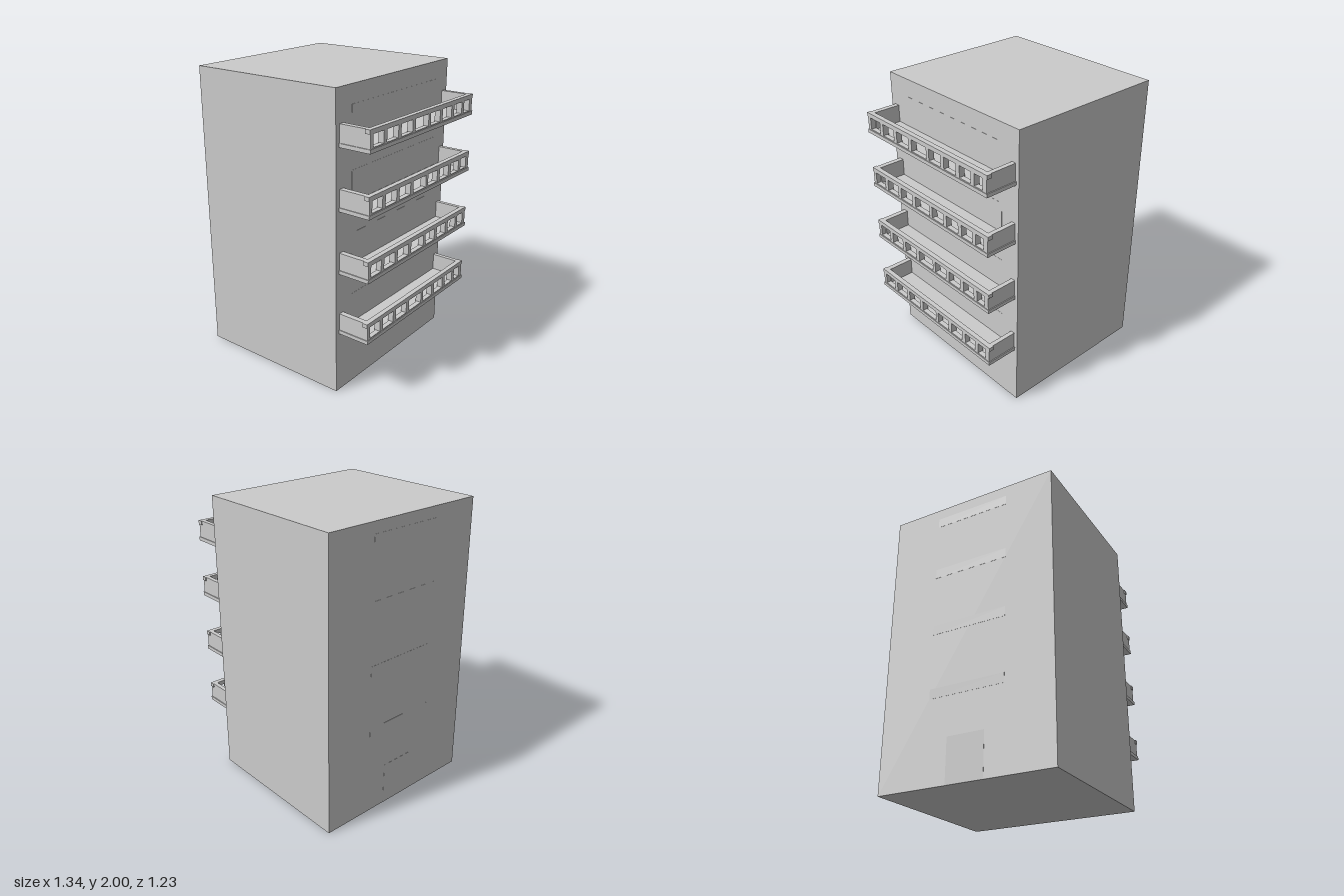
import * as THREE from 'three';

const material = new THREE.MeshStandardMaterial({ color: 0xcccccc, flatShading: true });

// Box given by its extents on each axis
function block(name, [x0, x1], [y0, y1], [z0, z1]) {
  const mesh = new THREE.Mesh(new THREE.BoxGeometry(x1 - x0, y1 - y0, z1 - z0), material);
  mesh.position.set((x0 + x1) / 2, (y0 + y1) / 2, (z0 + z1) / 2);
  mesh.name = name;
  return mesh;
}

const WALL_LEFT = 0.452;   // wall with the balconies
const WALL_RIGHT = -0.667; // wall with the entrance
const Z0 = -0.592, Z1 = 0.584;
const SLAB = 0.025, HEIGHT = 0.14;

// Openings in the balcony railing, as z ranges
const openings = [
  [-0.55, -0.48], [-0.45, -0.35], [-0.317, -0.206], [-0.175, -0.063],
  [-0.037, 0.11], [0.143, 0.265], [0.296, 0.413], [0.445, 0.55],
];

function rectangle(target, a0, a1, b0, b1) {
  target.moveTo(a0, b0);
  target.lineTo(a1, b0);
  target.lineTo(a1, b1);
  target.lineTo(a0, b1);
  target.closePath();
  return target;
}

// Long railing panel pierced by a row of openings
function createRailing() {
  const shape = rectangle(new THREE.Shape(), -Z1 + 0.006, -Z0 - 0.006, SLAB, HEIGHT);
  for (const [a, b] of openings) {
    shape.holes.push(rectangle(new THREE.Path(), -b, -a, 0.032, 0.11));
  }
  const geometry = new THREE.ExtrudeGeometry(shape, { depth: 0.033, bevelEnabled: false });
  geometry.rotateY(Math.PI / 2); // shape x becomes -z, depth becomes +x
  geometry.translate(0.637, 0, 0);
  const mesh = new THREE.Mesh(geometry, material);
  mesh.name = 'railing';
  return mesh;
}

function createBalcony() {
  const balcony = new THREE.Group();
  balcony.name = 'balcony';
  balcony.add(block('floorSlab', [WALL_LEFT, 0.674], [0, SLAB], [Z0, Z1]));
  balcony.add(createRailing());
  // Side walls
  balcony.add(block('sideWall', [WALL_LEFT, 0.637], [SLAB, HEIGHT], [Z0 + 0.006, -0.556]));
  balcony.add(block('sideWall', [WALL_LEFT, 0.637], [SLAB, HEIGHT], [0.542, Z1 - 0.006]));
  // Handrail ends, slightly wider than the railing
  balcony.add(block('handrailEnd', [0.637, 0.67], [0.113, HEIGHT], [Z0, Z0 + 0.006]));
  balcony.add(block('handrailEnd', [0.637, 0.67], [0.113, HEIGHT], [Z1 - 0.006, Z1]));
  // Posts standing a little proud on the inside
  for (let i = 0; i < openings.length - 1; i++) {
    balcony.add(block('post', [0.63, 0.637], [SLAB, 0.125], [openings[i][1], openings[i + 1][0]]));
  }
  return balcony;
}

export function createModel() {
  const model = new THREE.Group();
  model.name = 'apartmentBlock';
  model.add(block('tower', [WALL_RIGHT, WALL_LEFT], [0, 2], [-0.613, 0.613]));

  // Each floor: balcony height, balcony window top, narrow window bottom
  const floors = [
    [0.418, 0.65, 0.567], [0.837, 1.07, 1.015], [1.25, 1.478, 1.443], [1.648, 1.88, 1.857],
  ];
  for (const [base, windowTop, slit] of floors) {
    const balcony = createBalcony();
    balcony.position.y = base;
    model.add(balcony);
    model.add(block('balconyWindow', [WALL_LEFT - 0.01, WALL_LEFT + 0.001], [base + 0.032, windowTop], [-0.468, 0.46]));
    model.add(block('narrowWindow', [WALL_RIGHT - 0.001, WALL_RIGHT + 0.01], [slit, slit + 0.067], [-0.263, 0.275]));
  }

  // Entrance door
  model.add(block('door', [WALL_RIGHT - 0.001, WALL_RIGHT + 0.01], [0, 0.3], [-0.12, 0.143]));
  return model;
}
